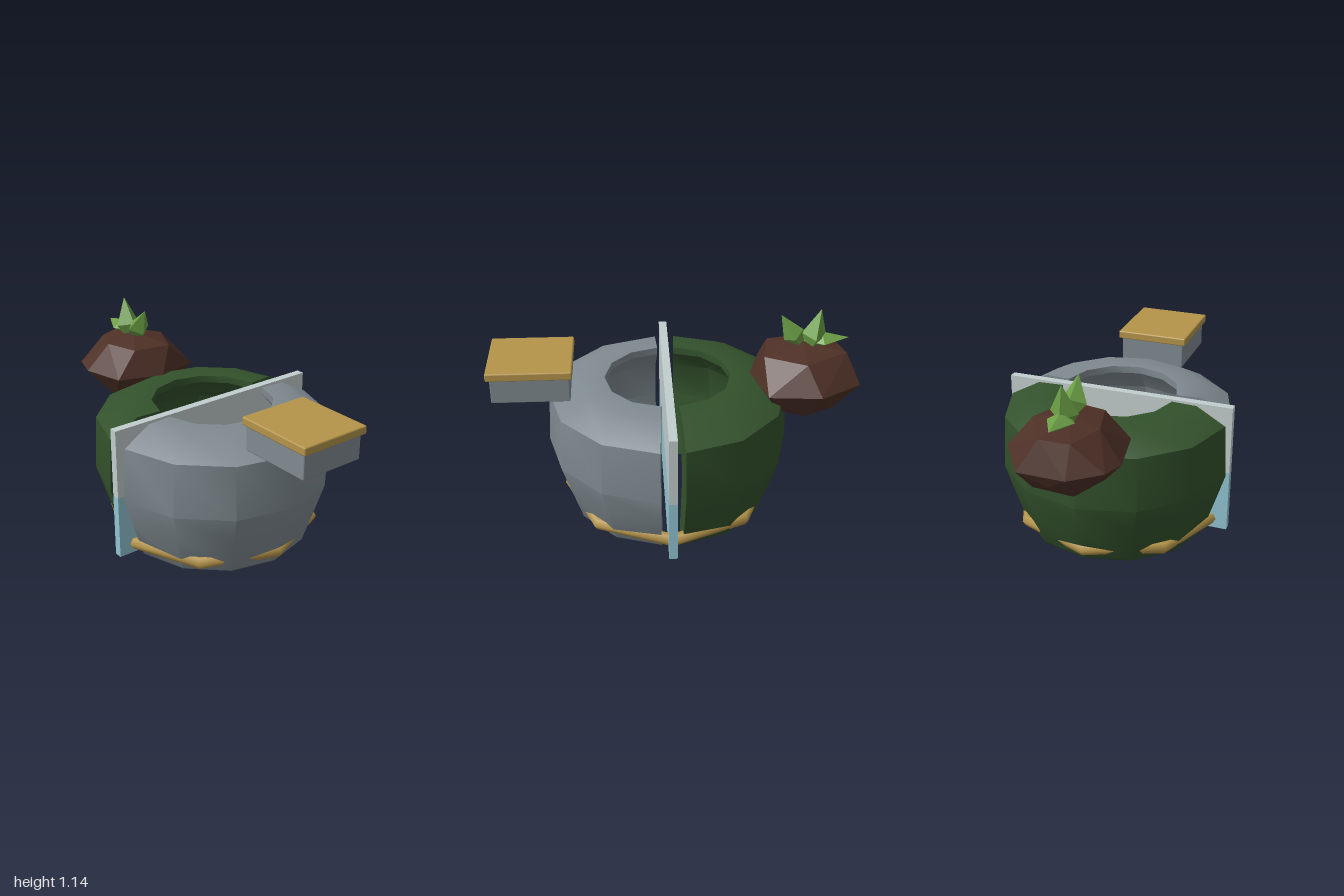
import * as THREE from 'three';
import { toCreasedNormals } from 'three/addons/utils/BufferGeometryUtils.js';
import { RoundedBoxGeometry } from 'three/addons/geometries/RoundedBoxGeometry.js';
import { ConvexGeometry } from 'three/addons/geometries/ConvexGeometry.js';

function material(name, color, extra = {}) {
  return new THREE.MeshStandardMaterial({ name, color, ...extra });
}

export function createModel() {
  const model = new THREE.Group();
  model.name = 'splitBowl';

  const green = material('darkGreen', 0x33522c, { side: THREE.DoubleSide });
  const grey = material('stoneGrey', 0x7f8a90, { side: THREE.DoubleSide });
  const gold = material('gold', 0xb5944a);
  const brown = material('soilBrown', 0x4e3026, { flatShading: true });
  const leafGreen = material('leafGreen', 0x6b9e45, { flatShading: true });
  const glass = material('paleGlass', 0xc2cdcd);
  const water = material('waterBlue', 0x92c4d1);

  function add(parent, name, geometry, mat, x = 0, y = 0, z = 0) {
    const mesh = new THREE.Mesh(geometry, mat);
    mesh.name = name;
    mesh.position.set(x, y, z);
    parent.add(mesh);
    return mesh;
  }

  // Bowl halves: closed wall profile swept a little under half a turn, with cut faces
  const profile = [
    [0.37, 0], [0.51, 0], [0.525, 0.015], [0.595, 0.235], [0.64, 0.38], [0.625, 0.68],
    [0.46, 0.77], [0.32, 0.77], [0.32, 0.73], [0.43, 0.6], [0.46, 0.38], [0.37, 0],
  ].map(([r, y]) => new THREE.Vector2(r, y));
  const gap = THREE.MathUtils.degToRad(3.6);

  function bowlHalf(name, mat, x, turn) {
    const half = new THREE.Group();
    half.name = name;
    const wall = new THREE.LatheGeometry(profile, 6, gap, Math.PI - 2 * gap);
    add(half, 'wall', toCreasedNormals(wall, 0.6), mat);
    for (const phi of [gap, Math.PI - gap]) {
      const cut = new THREE.ShapeGeometry(new THREE.Shape(profile.slice(0, -1)));
      cut.rotateY(phi - Math.PI / 2);
      add(half, 'cutFace', cut, mat);
    }
    half.position.x = x;
    half.rotation.y = turn;
    model.add(half);
  }
  bowlHalf('greyHalf', grey, 0.06, 0);
  bowlHalf('greenHalf', green, 0.01, Math.PI);

  // Eight-sided ring whose corners poke through the bowl wall
  const ring = new THREE.TorusGeometry(0.56, 0.035, 6, 8).rotateX(Math.PI / 2);
  add(model, 'goldRing', ring, gold, 0.035, 0.075, 0);

  // Dividing pane, water coloured below and clear above
  add(model, 'lowerPane', new THREE.BoxGeometry(0.045, 0.36, 1.3), water, 0.036, 0.2, 0);
  add(model, 'upperPane', new THREE.BoxGeometry(0.045, 0.39, 1.3), glass, 0.036, 0.575, 0);

  // Small box with an overhanging lid
  add(model, 'box', new RoundedBoxGeometry(0.42, 0.145, 0.375, 1, 0.006), grey, 0.77, 0.7975, 0.015);
  add(model, 'lid', new RoundedBoxGeometry(0.455, 0.046, 0.41, 1, 0.008), gold, 0.7725, 0.888, 0.015);

  // Faceted clump of soil
  const soilPoints = [
    [-0.7, 0.955, 0.015],
    [-0.93, 0.915, -0.05], [-0.9, 0.9, 0.1], [-0.72, 0.91, 0.18],
    [-0.52, 0.915, 0.13], [-0.48, 0.915, -0.08], [-0.7, 0.91, -0.18],
    [-1, 0.76, -0.14], [-0.97, 0.74, 0.1], [-0.89, 0.77, 0.27], [-0.76, 0.76, 0.305],
    [-0.5, 0.77, 0.26], [-0.415, 0.77, 0.01], [-0.49, 0.76, -0.25], [-0.77, 0.77, -0.29],
    [-0.95, 0.68, 0], [-0.87, 0.605, 0.1], [-0.86, 0.61, -0.12], [-0.65, 0.6, 0.18],
    [-0.56, 0.6, -0.12], [-0.55, 0.6, 0.1], [-0.7, 0.61, -0.2], [-0.7, 0.55, 0],
  ].map((p) => new THREE.Vector3(...p));
  add(model, 'soilClump', new ConvexGeometry(soilPoints), brown);

  // Sprout of three diamond-shaped leaves
  const sprout = new THREE.Group();
  sprout.name = 'sprout';
  model.add(sprout);
  function leaf(name, base, tip, width, depth) {
    const from = new THREE.Vector3(...base, 0.015);
    const along = new THREE.Vector3(...tip, 0.015).sub(from);
    const length = along.length();
    const points = [[0, 0], [1, 0.42 * length], [0, length]].map(([r, y]) => new THREE.Vector2(r, y));
    const geometry = new THREE.LatheGeometry(points, 4).scale(width, 1, depth);
    const mesh = add(sprout, name, geometry, leafGreen, from.x, from.y, from.z);
    mesh.quaternion.setFromUnitVectors(new THREE.Vector3(0, 1, 0), along.normalize());
  }
  leaf('middleLeaf', [-0.735, 0.88], [-0.79, 1.145], 0.07, 0.075);
  leaf('outerLeaf', [-0.7, 0.96], [-0.95, 0.972], 0.045, 0.072);
  leaf('innerLeaf', [-0.7, 0.91], [-0.575, 1.115], 0.06, 0.07);

  return model;
}
